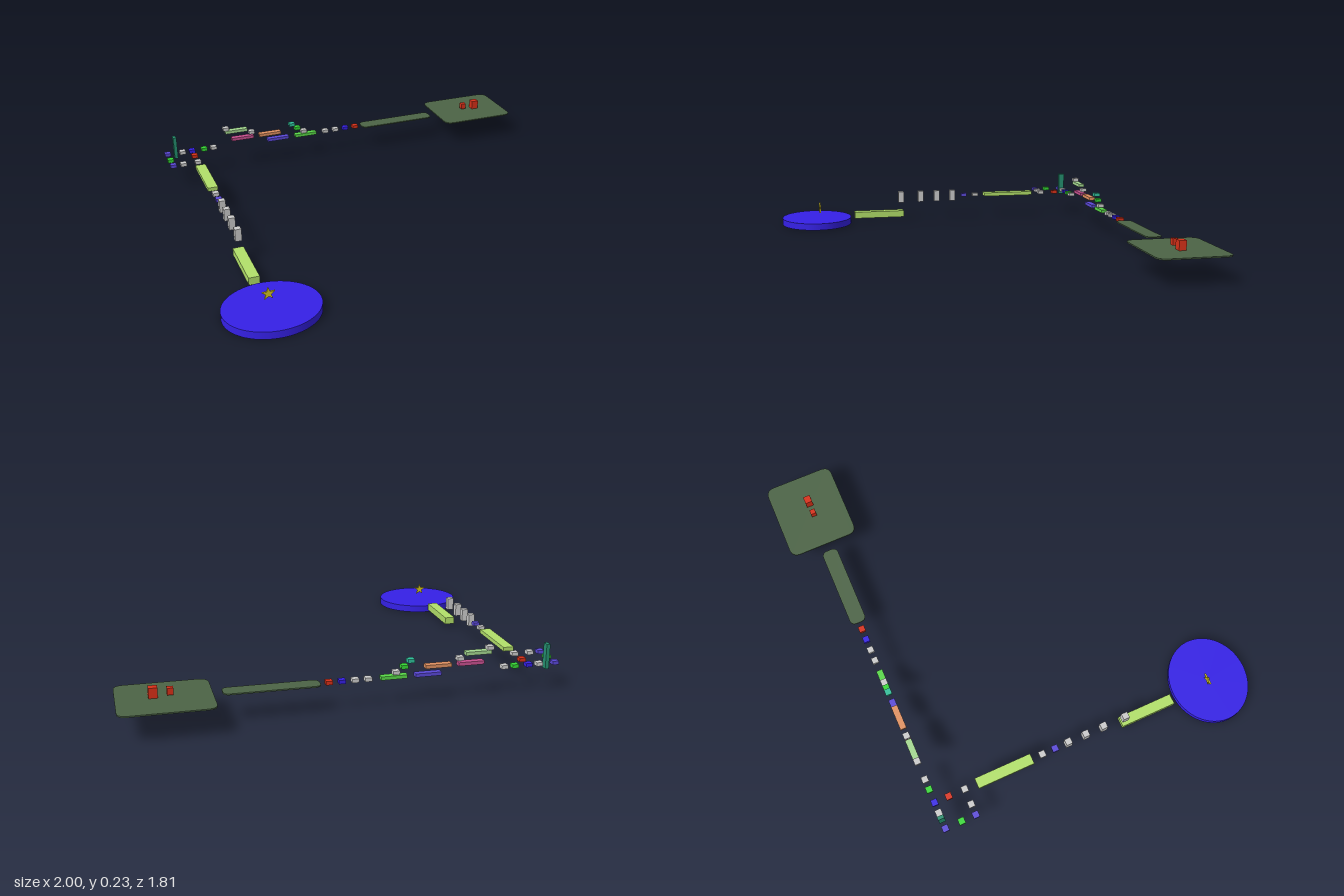
import * as THREE from 'three';

const GREY = 0xcccccc, LIME = 0xb2e06a, BLUE = 0x3520e6, VIOLET = 0x5a48d8, GREEN = 0x35d835;
const RED = 0xd83018, MOSS = 0x4c6446, TEAL = 0x2fbf9a;
const ROW_X = -0.805, ROW_Z = -0.73; // the two legs of the course

export function createModel() {
  const model = new THREE.Group();

  function add(name, geometry, color, x, y, z) {
    const material = new THREE.MeshStandardMaterial({ color });
    const mesh = new THREE.Mesh(geometry, material);
    mesh.name = name;
    mesh.position.set(x, y, z);
    model.add(mesh);
    return mesh;
  }
  const box = (name, color, x, y, z, w = 0.03, h = 0.017, d = 0.03) =>
    add(name, new THREE.BoxGeometry(w, h, d), color, x, y, z);

  // Thin horizontal slab with rounded corners
  function slab(name, x, z, w, d, r) {
    const s = new THREE.Shape();
    const a = w / 2, b = d / 2;
    s.moveTo(-a + r, -b);
    s.lineTo(a - r, -b);
    s.quadraticCurveTo(a, -b, a, -b + r);
    s.lineTo(a, b - r);
    s.quadraticCurveTo(a, b, a - r, b);
    s.lineTo(-a + r, b);
    s.quadraticCurveTo(-a, b, -a, b - r);
    s.lineTo(-a, -b + r);
    s.quadraticCurveTo(-a, -b, -a + r, -b);
    const g = new THREE.ExtrudeGeometry(s, { depth: 0.006, bevelEnabled: false, curveSegments: 8 });
    g.rotateX(-Math.PI / 2);
    add(name, g, MOSS, x, 0.122, z);
  }

  // Oval starting island
  const island = add('startIsland', new THREE.CylinderGeometry(1, 1, 0.035, 64), BLUE, -0.788, 0.0175, 0.713);
  island.scale.set(0.212, 1, 0.188);

  // Five-pointed star above the island
  const star = new THREE.Shape();
  for (let i = 0; i < 10; i++) {
    const r = i % 2 ? 0.0125 : 0.03, t = Math.PI / 2 + (i * Math.PI) / 5;
    if (i === 0) star.moveTo(r * Math.cos(t), r * Math.sin(t));
    else star.lineTo(r * Math.cos(t), r * Math.sin(t));
  }
  star.closePath();
  const starGeometry = new THREE.ExtrudeGeometry(star, { depth: 0.008, bevelEnabled: false });
  add('star', starGeometry, 0xd8c820, -0.795, 0.084, 0.691);

  // First leg: beams, pillars and stepping blocks
  box('lowBeam', LIME, ROW_X, 0.037, 0.365, 0.05, 0.035, 0.275);
  box('highBeam', LIME, ROW_X, 0.13, -0.38, 0.05, 0.019, 0.28);
  for (const z of [0.24, 0.127, 0.035, -0.055]) box('pillar', GREY, ROW_X, 0.13, z, 0.03, 0.06, 0.03);
  for (const [z, color] of [[-0.123, VIOLET], [-0.188, GREY], [-0.58, GREY], [-0.66, RED], [-0.73, BLUE]])
    box('steppingBlock', color, ROW_X, 0.13, z);

  // Corner detour with a tall thin post
  for (const [x, z, color] of [
    [-0.88, -0.58, GREY], [-0.932, -0.58, VIOLET], [-0.932, -0.65, GREEN],
    [-0.932, ROW_Z, VIOLET], [-0.855, ROW_Z, GREY],
  ]) box('cornerBlock', color, x, 0.13, z);
  box('post', 0x259070, -0.89, 0.163, ROW_Z, 0.017, 0.116, 0.03);

  // Second leg: small blocks climbing and descending
  for (const [x, y, color] of [
    [-0.74, 0.13, GREEN], [-0.69, 0.13, GREY], [-0.617, 0.225, GREY], [-0.48, 0.187, GREY],
    [-0.255, 0.195, TEAL], [-0.226, 0.17, GREEN], [-0.19, 0.147, GREY],
    [-0.066, 0.127, GREY], [-0.008, 0.127, GREY], [0.05, 0.127, BLUE], [0.107, 0.127, RED],
  ]) box('smallBlock', color, x, y, ROW_Z);

  // Long platforms of the second leg
  for (const [x, y, color] of [
    [-0.563, 0.207, 0xa4d890], [-0.53, 0.162, 0xc85090], [-0.38, 0.162, 0xe09060],
    [-0.335, 0.127, VIOLET], [-0.18, 0.127, 0x58d848],
  ]) box('platform', color, x, y, ROW_Z, 0.118, 0.016, 0.03);

  // Walkway, finishing plate and the two red blocks on it
  slab('walkway', 0.353, ROW_Z, 0.416, 0.078, 0.03);
  slab('finishPlate', 0.8, -0.738, 0.4, 0.342, 0.045);
  box('smallRedBlock', RED, 0.775, 0.15, ROW_Z, 0.026, 0.03, 0.026);
  box('largeRedBlock', RED, 0.845, 0.15, ROW_Z, 0.038, 0.046, 0.034);

  return model;
}
